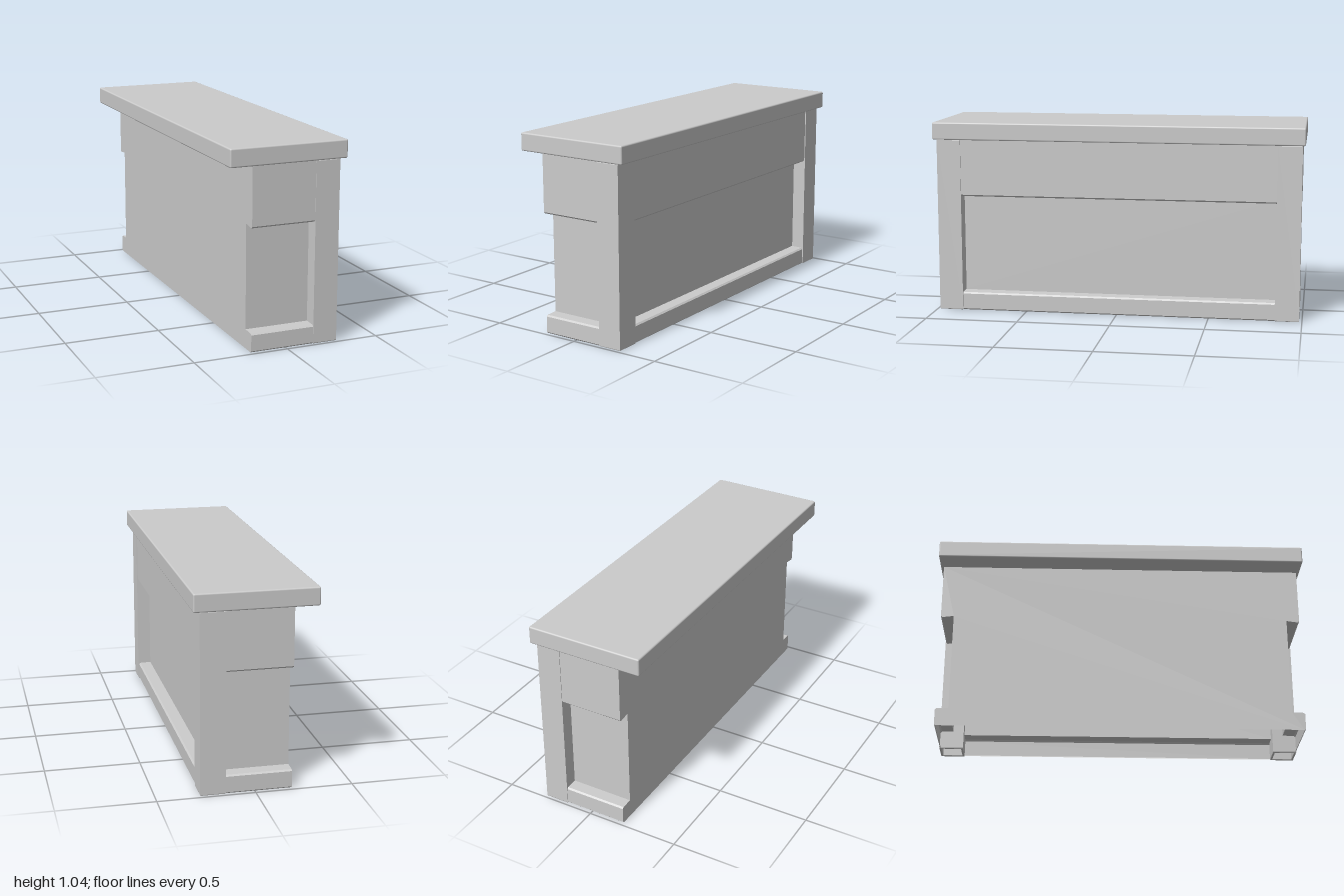
import * as THREE from 'three';
import { RoundedBoxGeometry } from 'three/addons/geometries/RoundedBoxGeometry.js';

const solid = new THREE.MeshStandardMaterial({ color: 0xcccccc });
const thin = new THREE.MeshStandardMaterial({ color: 0xcccccc, side: THREE.DoubleSide });

const TOP = 0.945;        // underside of the counter top
const BACK = -0.19;       // flat back face, x
const SIDE = 0.275;       // outer face of the long panelled wall, x
const END = 0.982;        // outer face of the short end walls, z
const POST = 0.13;        // post width

// Wall section as [inset, y]: plinth, recessed panel, apron
const SECTION = [
  [0.007, 0], [0, 0.007], [0, 0.09], [0.008, 0.098], [0.07, 0.1],
  [0.07, 0.642], [0.008, 0.634], [0, 0.642], [0, TOP],
];

// Open wall: the section swept straight from a to b (x, z), insets along n
function wall(name, a, b, n) {
  const positions = [];
  const at = (p, [d, y]) => [p[0] + n[0] * d, y, p[1] + n[1] * d];
  for (let i = 0; i < SECTION.length - 1; i++) {
    const a0 = at(a, SECTION[i]), b0 = at(b, SECTION[i]);
    const a1 = at(a, SECTION[i + 1]), b1 = at(b, SECTION[i + 1]);
    positions.push(...a0, ...b0, ...b1, ...a0, ...b1, ...a1);
  }
  const geometry = new THREE.BufferGeometry();
  geometry.setAttribute('position', new THREE.Float32BufferAttribute(positions, 3));
  geometry.computeVertexNormals();
  const mesh = new THREE.Mesh(geometry, thin);
  mesh.name = name;
  return mesh;
}

function square(PathType, half) {
  return new PathType([[-1, -1], [1, -1], [1, 1], [-1, 1]]
    .map(([x, y]) => new THREE.Vector2(x * half, y * half)));
}

// Hollow corner post with softened rims, open underneath
function post(name, z) {
  const bevel = 0.005;
  const shape = square(THREE.Shape, POST / 2 - bevel);
  shape.holes.push(square(THREE.Path, POST / 2 - bevel - 0.002));
  const geometry = new THREE.ExtrudeGeometry(shape, {
    depth: TOP - 2 * bevel, bevelEnabled: true,
    bevelSize: bevel, bevelThickness: bevel, bevelSegments: 2,
  });
  geometry.rotateX(-Math.PI / 2).translate(0, bevel, 0);
  const mesh = new THREE.Mesh(geometry, solid);
  mesh.name = name;
  mesh.position.set(0.28 - POST / 2, 0, z);
  return mesh;
}

// Flat back sheet, cut to the same section at both ends
function backSheet() {
  const right = SECTION.map(([d, y]) => new THREE.Vector2(END - d, y));
  const left = SECTION.map(([d, y]) => new THREE.Vector2(d - END, y)).reverse();
  const geometry = new THREE.ShapeGeometry(new THREE.Shape([...right, ...left]));
  geometry.rotateY(-Math.PI / 2).translate(BACK, 0, 0);
  const mesh = new THREE.Mesh(geometry, thin);
  mesh.name = 'backPanel';
  return mesh;
}

export function createModel() {
  const model = new THREE.Group();
  model.name = 'barCounter';

  // Counter top
  const top = new THREE.Mesh(new RoundedBoxGeometry(0.628, 0.094, 2, 2, 0.008), solid);
  top.name = 'counterTop';
  top.position.y = TOP + 0.047;
  model.add(top);

  // Hollow body, open underneath; walls stop at the posts
  const postX = 0.28 - POST, postZ = 0.985 - POST;
  model.add(
    wall('sideWall', [SIDE, postZ], [SIDE, -postZ], [-1, 0]),
    wall('frontWall', [BACK, END], [postX, END], [0, -1]),
    wall('rearWall', [postX, -END], [BACK, -END], [0, 1]),
    backSheet(),
  );

  // Corner posts
  model.add(
    post('frontPost', 0.985 - POST / 2),
    post('rearPost', -0.985 + POST / 2),
  );
  return model;
}
